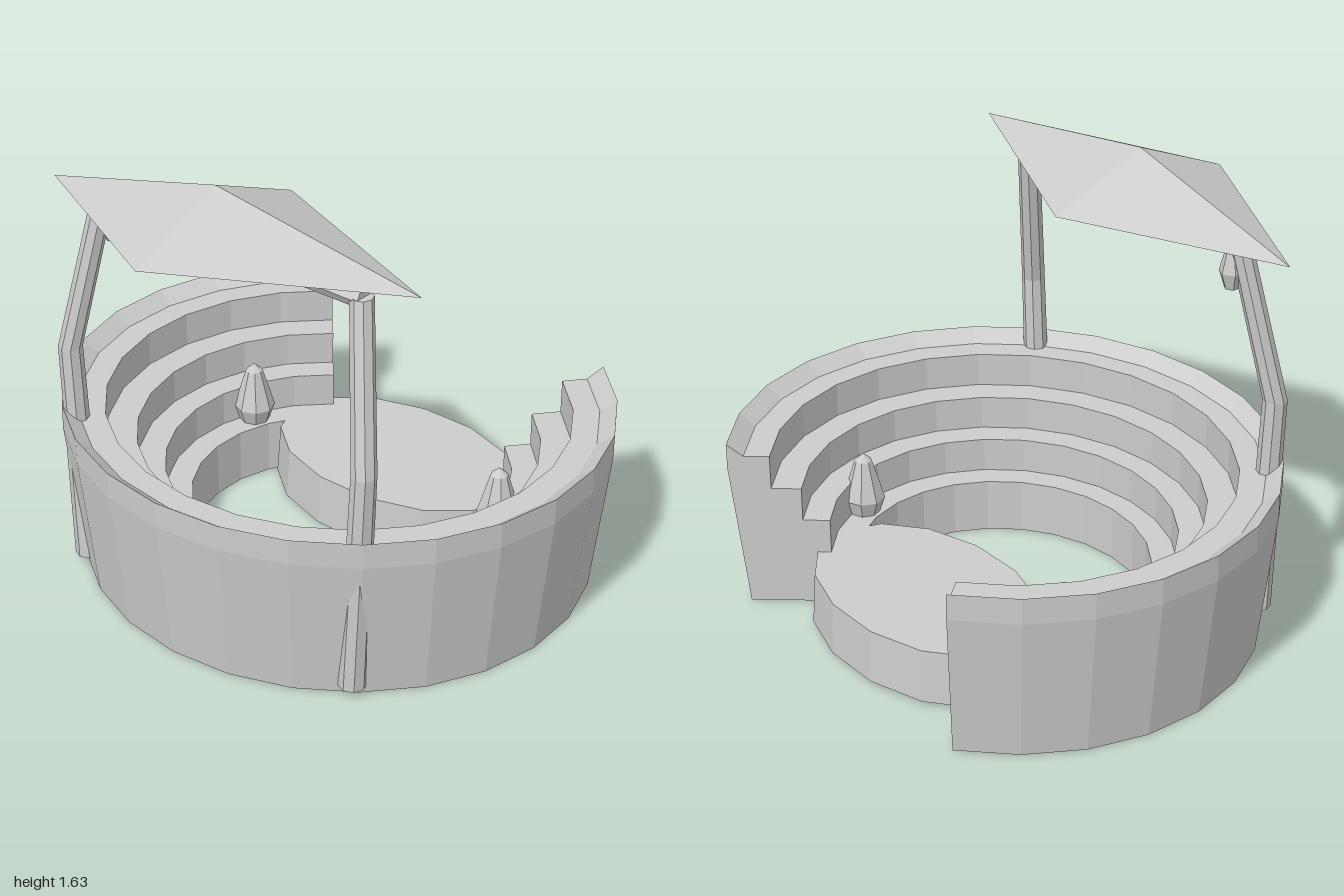
import * as THREE from 'three';
import { ConvexGeometry } from 'three/addons/geometries/ConvexGeometry.js';

const V2 = (p) => new THREE.Vector2(p[0], p[1]);
const V3 = (p) => new THREE.Vector3(p[0], p[1], p[2]);

export function createModel() {
  const model = new THREE.Group();
  model.name = 'amphitheatre';
  const stone = new THREE.MeshStandardMaterial(
    { color: 0xcccccc, flatShading: true, side: THREE.DoubleSide });
  stone.name = 'pale grey stone';

  function add(name, geometry) {
    const mesh = new THREE.Mesh(geometry, stone);
    mesh.name = name;
    model.add(mesh);
    return mesh;
  }

  // Stepped seating: a closed profile of [radius, height] swept around an oval
  const profile = [[0.54, 0], [0.94, 0], [1, 0.54], [1, 0.635], [0.94, 0.59], [0.845, 0.59],
    [0.845, 0.462], [0.735, 0.462], [0.735, 0.335], [0.635, 0.335], [0.635, 0.205], [0.54, 0.205]].map(V2);
  const halfSweep = THREE.MathUtils.degToRad(141);
  const toOval = (g) => g.scale(1.0045, 1, 0.946).translate(0, 0, -0.106);
  add('seatingRing', toOval(
    new THREE.LatheGeometry([...profile, profile[0]], 20, -halfSweep, 2 * halfSweep)));

  // Flat ends of the seating at the rear opening
  for (const side of [-1, 1]) {
    const end = new THREE.ShapeGeometry(new THREE.Shape(profile));
    end.rotateY(-halfSweep - Math.PI / 2);
    add('seatingEnd', toOval(end)).scale.x = -side;
  }

  // Oval stage in the opening: a shell, open below, level with the lowest tier
  const stage = new THREE.LatheGeometry([[0.516, 0.01], [0.5, 0.205], [0, 0.205]].map(V2), 14);
  stage.rotateY(Math.PI / 14).scale(1, 1, 0.642);
  add('stage', stage).position.z = -0.456;

  for (const side of [-1, 1]) {
    // Bent, tapering post: each row of the cylinder follows one [x, y, z, radius] of the path
    const path = [[0.612, 0.03, 0.562, 0.049], [0.65, 0.87, 0.56, 0.043], [0.555, 1.44, 0.46, 0.04]];
    const post = new THREE.CylinderGeometry(1, 1, 2, 8, 2);
    const pos = post.attributes.position;
    for (let i = 0; i < pos.count; i++) {
      const [x, y, z, r] = path[Math.round(pos.getY(i)) + 1];
      pos.setXYZ(i, pos.getX(i) * r + side * x, y, pos.getZ(i) * r + z);
    }
    add('canopyPost', post);

    // Pointed lamp standing on the lowest tier
    const lamp = new THREE.LatheGeometry(
      [[0, 0.19], [0.05, 0.19], [0.077, 0.265], [0.032, 0.415], [0, 0.443]].map(V2), 8);
    add('standingLamp', lamp).position.set(side * 0.57, 0, -0.305);
  }

  // Beam joining the post heads
  const beam = new THREE.CylinderGeometry(0.037, 0.037, 1.13, 6);
  beam.rotateZ(Math.PI / 2);
  add('beam', beam).position.set(0, 1.436, 0.46);

  // Lantern hanging beside the right post
  const lantern = new THREE.LatheGeometry(
    [[0, 1.28], [0.026, 1.28], [0.046, 1.34], [0.028, 1.41], [0, 1.42]].map(V2), 6);
  add('hangingLantern', lantern).position.set(-0.53, 0, 0.448);

  // Tilted diamond canopy
  add('canopy', new ConvexGeometry([[-0.787, 1.441, 0.457], [0.784, 1.511, 0.457],
    [-0.05, 1.474, 0.835], [-0.05, 1.474, 0.083], [-0.05, 1.632, 0.457], [-0.05, 1.376, 0.457]].map(V3)));

  return model;
}
